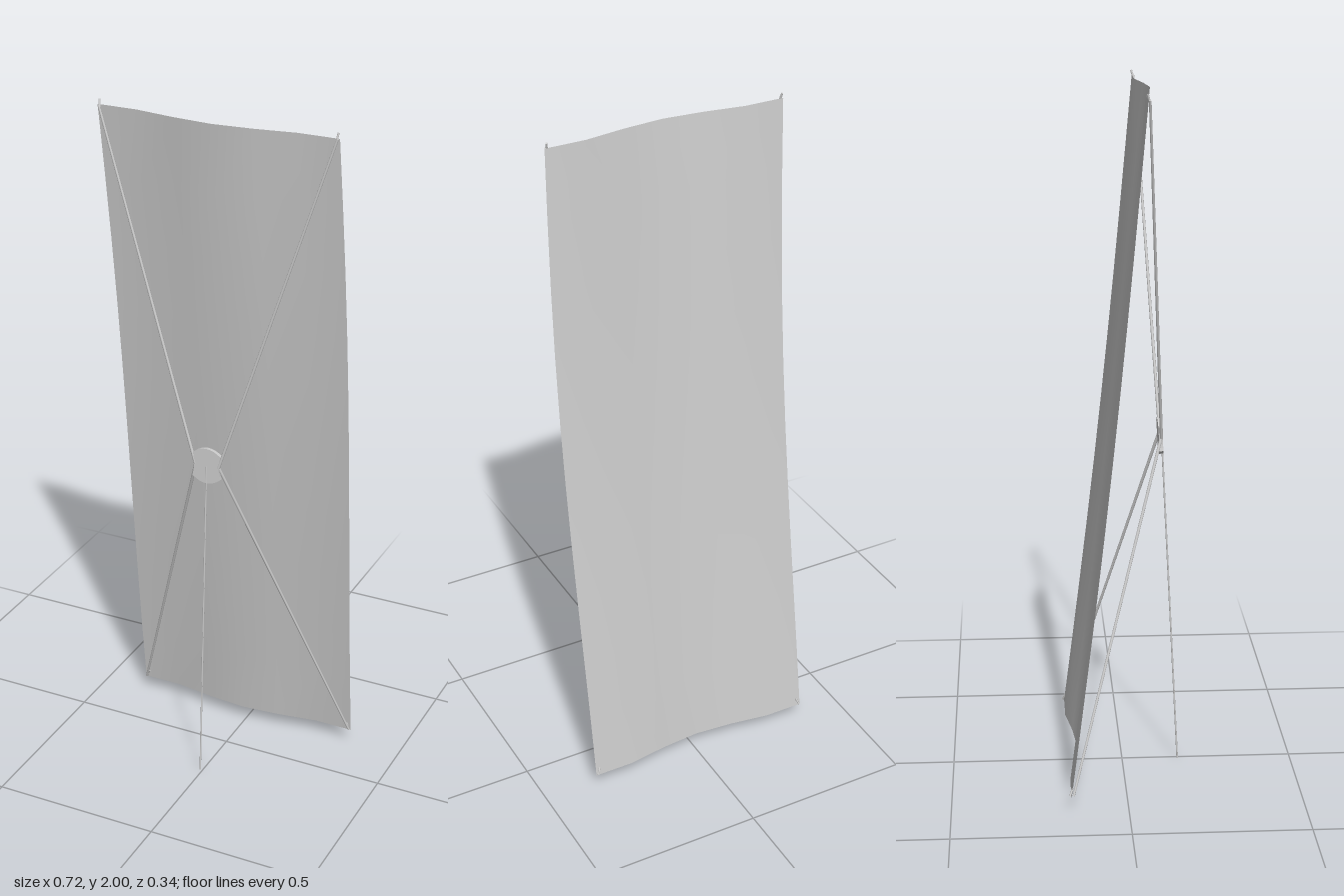
import * as THREE from 'three';

const CX = -0.008; // middle of the stand

export function createModel() {
  const model = new THREE.Group();
  const grey = new THREE.MeshStandardMaterial({ color: 0xcccccc });
  const cloth = new THREE.MeshStandardMaterial({ color: 0xcccccc, side: THREE.DoubleSide });

  const add = (name, geometry, material = grey) => {
    const mesh = new THREE.Mesh(geometry, material);
    mesh.name = name;
    model.add(mesh);
    return mesh;
  };

  // Round bar between two points
  const bar = (name, a, b, r0, r1 = r0) => {
    const from = new THREE.Vector3(...a), to = new THREE.Vector3(...b);
    const dir = to.clone().sub(from);
    const mesh = add(name, new THREE.CylinderGeometry(r1, r0, dir.length(), 8));
    mesh.position.copy(from).add(to).multiplyScalar(0.5);
    mesh.quaternion.setFromUnitVectors(new THREE.Vector3(0, 1, 0), dir.normalize());
  };

  // Banner: leaning sheet, bowed forward in the middle and gently rippled at its sides
  const banner = new THREE.PlaneGeometry(2, 1, 6, 10);
  const p = banner.attributes.position;
  const fold = [0, 0, 0.018, 0.028, 0.018, 0, 0];
  for (let i = 0; i < p.count; i++) {
    const t = p.getY(i) + 0.5;
    const belly = Math.sin(Math.PI * t);
    const sway = 0.016 * Math.sin(Math.PI * Math.pow(t, 1.4));
    const x = CX + p.getX(i) * 0.353 + sway;
    const depth = 1 - 0.3 * belly;
    const z = -0.162 + 0.21 * t + 0.013 * belly + fold[i % 7] * depth;
    p.setXYZ(i, x, 0.045 + 1.94 * t, z);
  }
  banner.computeVertexNormals();
  add('banner', banner, cloth);

  // Hub: rounded plate, tilted with the leg
  const outline = new THREE.Shape();
  outline.moveTo(-0.043, -0.035);
  outline.quadraticCurveTo(0, -0.07, 0.043, -0.035);
  outline.quadraticCurveTo(0.034, 0, 0.043, 0.035);
  outline.quadraticCurveTo(0, 0.07, -0.043, 0.035);
  outline.quadraticCurveTo(-0.034, 0, -0.043, -0.035);
  const hubGeometry = new THREE.ExtrudeGeometry(outline, { depth: 0.011, bevelEnabled: false, curveSegments: 8 });
  hubGeometry.translate(0, 0, -0.0055);
  const hub = add('hub', hubGeometry);
  hub.position.set(CX, 1.0, 0.108);
  hub.rotation.x = -0.055;

  // Four spreader arms with corner hooks
  for (const s of [-1, 1]) {
    const side = s > 0 ? 'Left' : 'Right';
    const root = CX + s * 0.036, tip = CX + s * 0.348;
    bar('upperArm' + side, [root, 1.0, 0.110], [tip, 1.985, 0.052], 0.0045, 0.0035);
    bar('lowerArm' + side, [root, 1.0, 0.108], [tip, 0.05, -0.156], 0.0045, 0.0035);
    bar('upperHook' + side, [tip - s * 0.004, 1.975, 0.053], [tip, 2.0, 0.046], 0.003);
    bar('lowerHook' + side, [tip - s * 0.008, 0.07, -0.158], [tip, 0.05, -0.166], 0.003);
  }

  // Front leg
  bar('frontLeg', [CX, 1.0, 0.113], [CX, 0.0, 0.165], 0.0025, 0.0025);

  return model;
}
